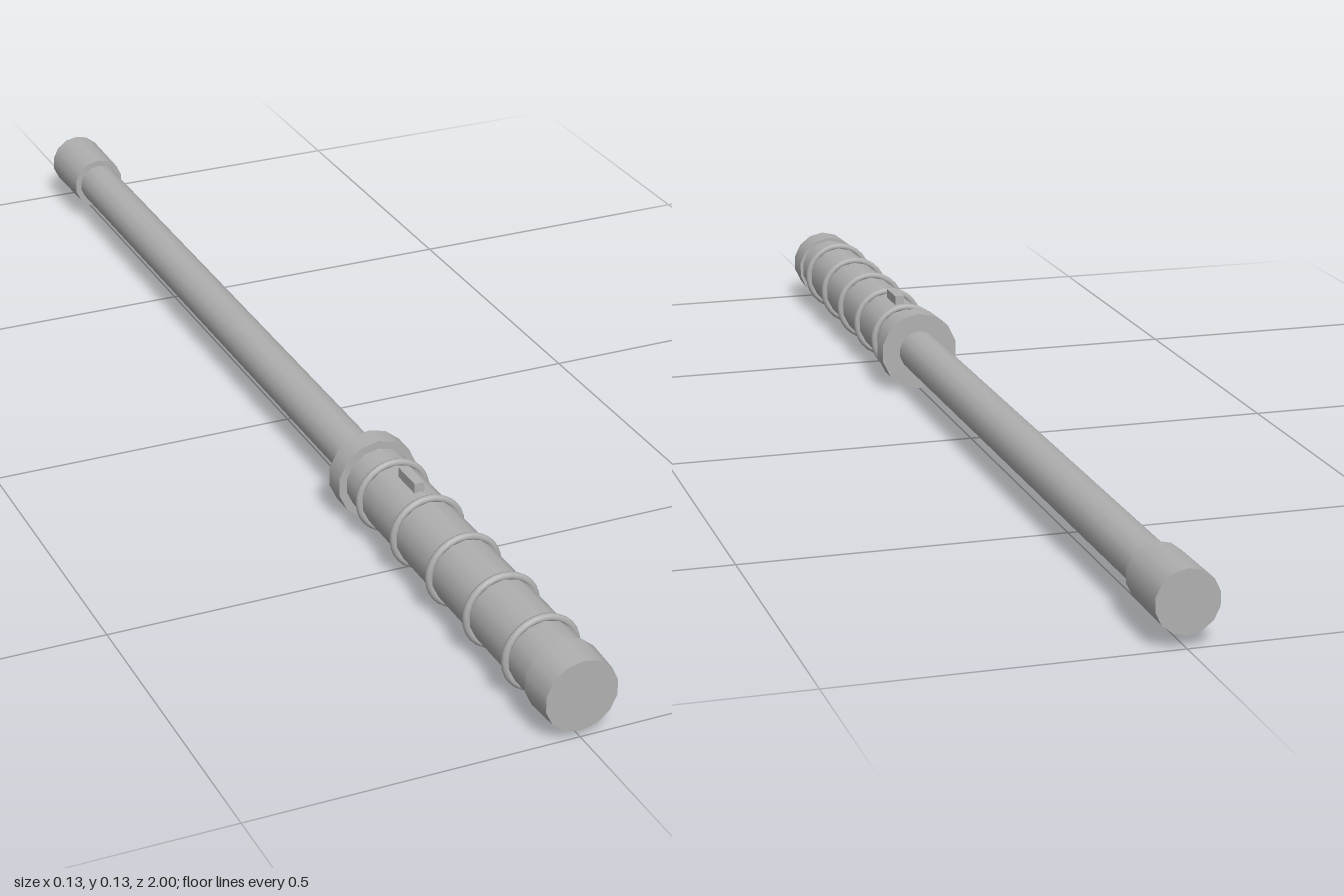
import * as THREE from 'three';

const AXIS_Y = 0.066; // height of the centre line
const SIDES = 14;

export function createModel() {
  const model = new THREE.Group();
  model.name = 'baton';
  const grey = new THREE.MeshStandardMaterial({ color: 0xb0b0b0 });
  grey.name = 'grey';

  const add = (name, geometry, y, z) => {
    const mesh = new THREE.Mesh(geometry, grey);
    mesh.name = name;
    mesh.position.set(0, y, z);
    model.add(mesh);
  };

  // Round section lying along z, from zBack to zFront
  const rod = (name, zBack, zFront, rBack, rFront = rBack) => {
    const geometry = new THREE.CylinderGeometry(rFront, rBack, zFront - zBack, SIDES);
    geometry.rotateX(Math.PI / 2);
    add(name, geometry, AXIS_Y, (zBack + zFront) / 2);
  };

  rod('shaft', -0.89, 0.32, 0.035);
  rod('tip', -1, -0.88, 0.047, 0.0455);
  rod('guard', 0.31, 0.347, 0.066);
  rod('grip', 0.34, 0.95, 0.053);
  rod('pommel', 0.943, 1, 0.0585, 0.056);

  // Grip rings
  for (let i = 0; i < 5; i++) {
    const ring = new THREE.TorusGeometry(0.0555, 0.006, 8, SIDES * 2);
    ring.rotateZ(Math.PI / 2);
    add('gripRing' + (i + 1), ring, AXIS_Y, 0.4 + i * 0.12);
  }

  // Switch on top of the grip
  add('switch', new THREE.BoxGeometry(0.016, 0.024, 0.055), 0.121, 0.463);

  return model;
}
